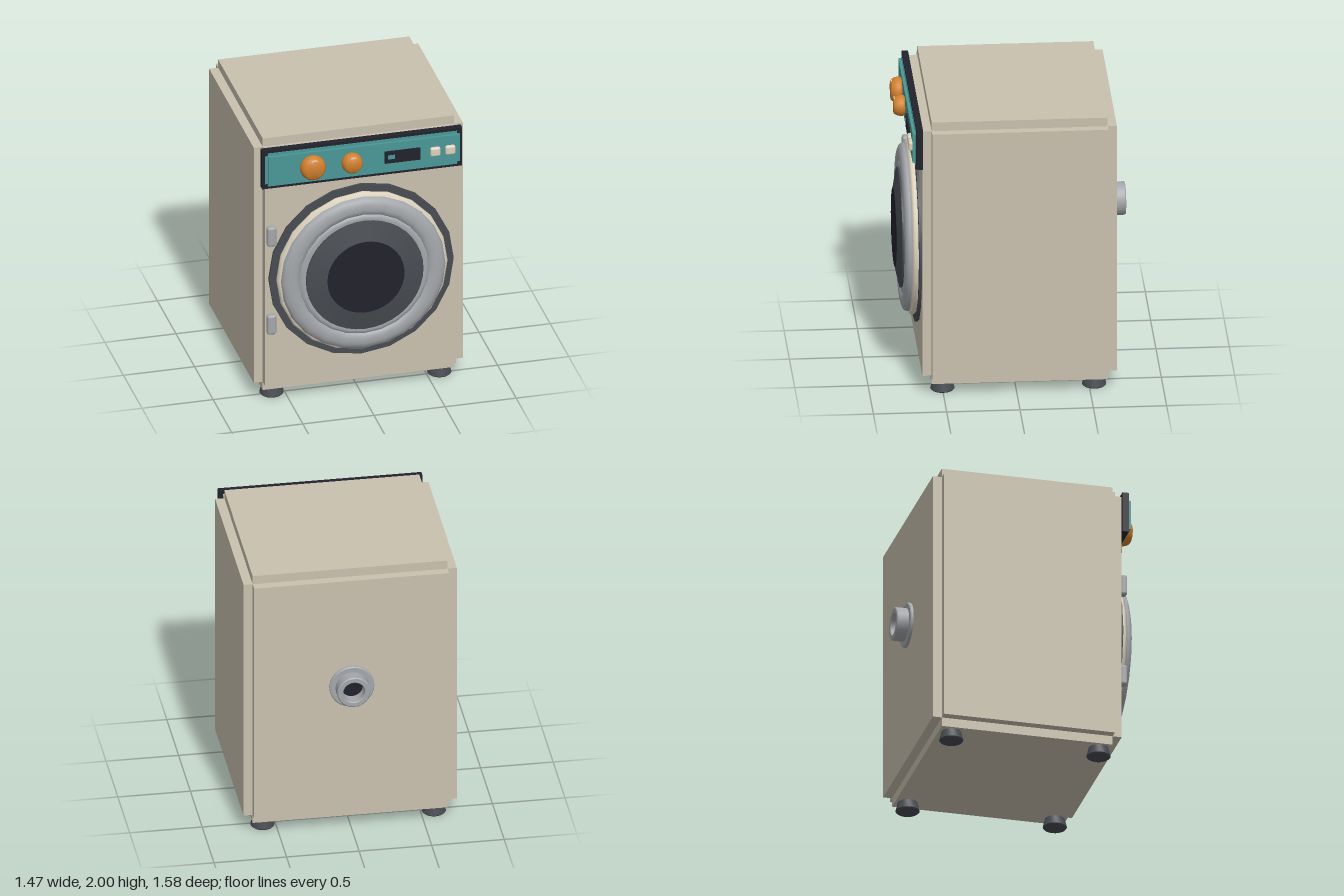
import * as THREE from 'three';
import { toCreasedNormals } from 'three/addons/utils/BufferGeometryUtils.js';
import { RoundedBoxGeometry } from 'three/addons/geometries/RoundedBoxGeometry.js';

export function createModel() {
  const model = new THREE.Group();
  model.name = 'washingMachine';
  const mat = (name, color) => {
    const m = new THREE.MeshStandardMaterial({ color });
    m.name = name;
    return m;
  };
  const beige = mat('beige', 0xc9c1af);
  const cream = mat('cream', 0xddd3bf);
  const teal = mat('teal', 0x4a9896);
  const orange = mat('orange', 0xd2802e);
  const silver = mat('silver', 0xa4a7ab);
  const charcoal = mat('charcoal', 0x484c51);
  const black = mat('black', 0x22222d);

  const add = (name, geometry, material, x = 0, y = 0, z = 0) => {
    const mesh = new THREE.Mesh(geometry, material);
    mesh.name = name;
    mesh.position.set(x, y, z);
    model.add(mesh);
    return mesh;
  };
  // Box given by its limits on each axis
  const span = (name, material, [x0, x1], [y0, y1], [z0, z1]) =>
    add(name, new THREE.BoxGeometry(x1 - x0, y1 - y0, z1 - z0), material,
      (x0 + x1) / 2, (y0 + y1) / 2, (z0 + z1) / 2);
  // Turned part along z; dir = 1 grows to the front, -1 to the back
  const turned = (points, sides, dir = 1, crease = 0.6) => {
    const g = new THREE.LatheGeometry(points.map(p => new THREE.Vector2(...p)), sides);
    g.rotateX(dir * Math.PI / 2);
    return toCreasedNormals(g, crease);
  };
  // Box with stepped (notched) edges, made of three crossing boxes
  const notched = (name, material, X, Y, Z, n) => {
    const inset = ([a, b]) => [a + n, b - n];
    span(name + 'Sides', material, X, inset(Y), inset(Z));
    span(name + 'TopBottom', material, inset(X), Y, inset(Z));
    span(name + 'FrontBack', material, inset(X), inset(Y), Z);
  };

  // Cabinet
  notched('cabinet', beige, [-0.735, 0.735], [0.07, 2.0], [-0.685, 0.642], 0.063);

  // Feet
  for (const x of [-0.59, 0.59]) for (const z of [-0.535, 0.5]) {
    const foot = new THREE.LatheGeometry([[0, 0], [0.075, 0], [0.083, 0.008], [0.068, 0.072], [0, 0.072]]
      .map(p => new THREE.Vector2(...p)), 20);
    add('foot', toCreasedNormals(foot, 0.6), charcoal, x, 0, z);
  }

  // Control panel
  span('panelFrame', black, [-0.703, 0.703], [1.667, 1.958], [0.64, 0.685]);
  notched('panel', teal, [-0.685, 0.685], [1.685, 1.938], [0.66, 0.708], 0.02);

  // Knobs with pointer marks
  for (const [x, r] of [[-0.36, 0.09], [-0.085, 0.073]]) {
    add('knob', turned([[r * 0.8, 0], [r * 0.95, 0.008], [r, 0.02], [r, 0.034],
      [r * 0.93, 0.056], [r * 0.8, 0.074], [r * 0.7, 0.08], [0, 0.08]], 24, 1, 0.9), orange, x, 1.815, 0.705);
    span('knobMark', cream, [x - 0.02, x + 0.02],
      [1.815 + r * 0.72, 1.815 + r * 0.82], [0.776, 0.783]);
  }

  // Display and buttons
  span('display', black, [0.15, 0.4], [1.768, 1.857], [0.7, 0.72]);
  span('displayLight', teal, [0.172, 0.22], [1.8, 1.83], [0.718, 0.724]);
  for (const x of [0.505, 0.61])
    add('button', new RoundedBoxGeometry(0.072, 0.068, 0.034, 2, 0.015), cream, x, 1.815, 0.717);

  // Door
  const doorY = 0.953;
  add('doorGasket', turned([[0.65, 0], [0.65, 0.02], [0.5, 0.02]], 20), charcoal, 0, doorY, 0.64);
  add('doorTrim', turned([[0.585, 0], [0.6, 0.012], [0.6, 0.03], [0.585, 0.045], [0.5, 0.045]], 20, 1, 0.9),
    cream, 0, doorY, 0.655);
  add('doorRing', turned([[0.565, 0], [0.578, 0.015], [0.575, 0.03], [0.56, 0.045], [0.53, 0.057],
    [0.49, 0.058], [0.46, 0.05], [0.455, 0.043], [0.45, 0.05], [0.43, 0.054], [0.405, 0.05], [0.395, 0.03]],
    24, 1, 0.9), silver, 0, doorY, 0.693);
  add('doorGlassRim', turned([[0.412, 0], [0.412, 0.03], [0.27, 0.06]], 40), charcoal, 0, doorY, 0.727);
  add('doorGlass', turned([[0.272, 0], [0.27, 0.004], [0, 0.004]], 40), black, 0, doorY, 0.785);

  // Hinges
  for (const y of [0.613, 1.288])
    add('hinge', new RoundedBoxGeometry(0.065, 0.148, 0.05, 2, 0.018), silver, -0.633, y, 0.662);

  // Rear outlet
  add('outlet', turned([[0.155, 0], [0.155, 0.016], [0.148, 0.022], [0.115, 0.022], [0.115, 0.098],
    [0.108, 0.105], [0.08, 0.105], [0.075, 0.1], [0.075, 0.012]], 24, -1), silver, 0, 1.12, -0.685);
  add('outletBore', turned([[0.077, 0], [0, 0]], 24, -1), black, 0, 1.12, -0.7);

  return model;
}
